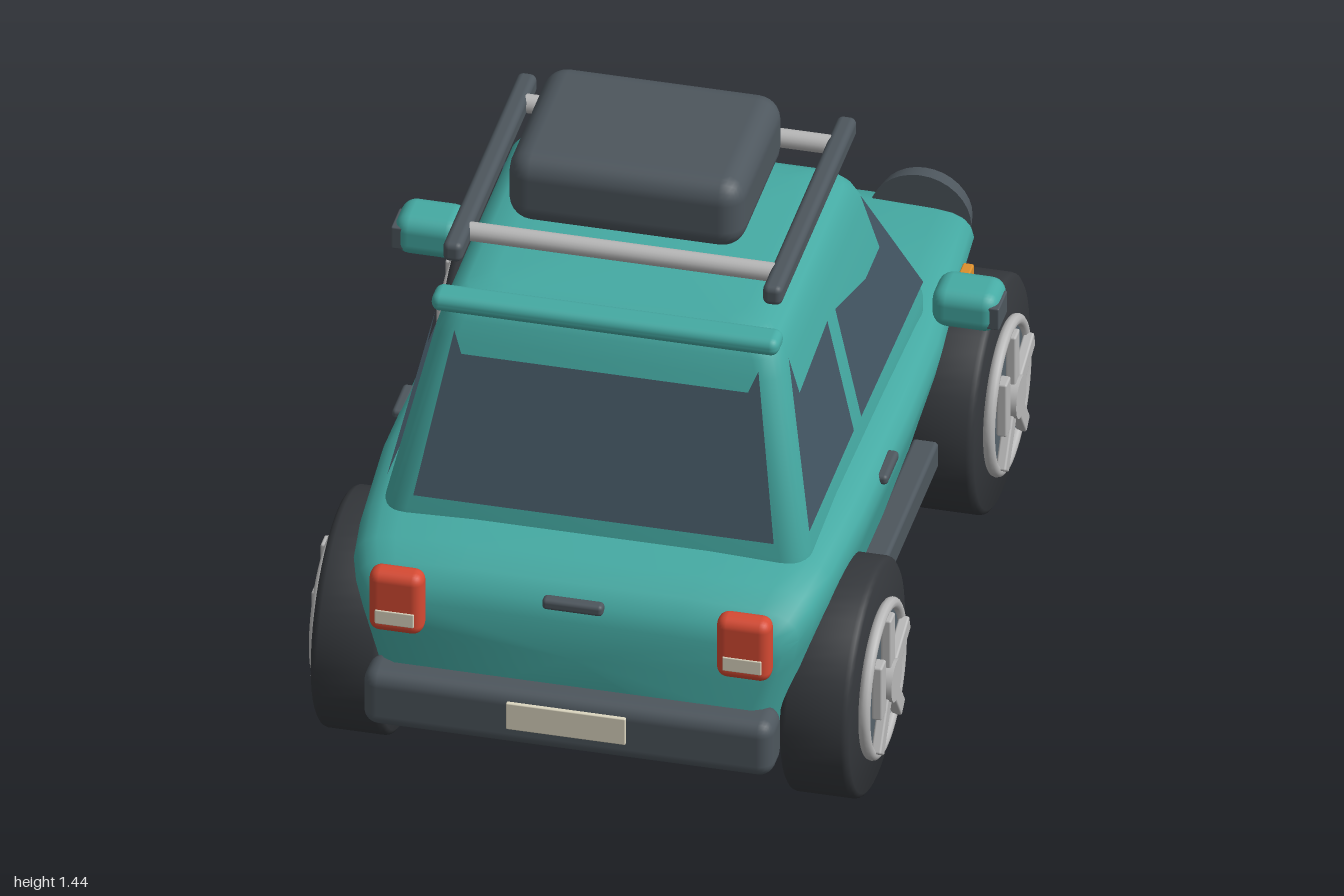
import * as THREE from 'three';
import { toCreasedNormals } from 'three/addons/utils/BufferGeometryUtils.js';
import { RoundedBoxGeometry } from 'three/addons/geometries/RoundedBoxGeometry.js';

const mat = (color, side = THREE.FrontSide) => new THREE.MeshStandardMaterial({ color, side });
const teal = mat(0x45aaa3), slate = mat(0x4d565d), rubber = mat(0x34373b), metal = mat(0xb8b8b8);
const red = mat(0xd64a33), cream = mat(0xdcd6c0), amber = mat(0xdc8f2c), disc = mat(0x56626b);
const glass = mat(0x435663, THREE.DoubleSide);

// Skin a list of equal-length point rings, closing both ends
function loft(rings, crease) {
  const n = rings[0].length, pos = rings.flat(2), idx = [];
  rings.slice(1).forEach((_, i) => {
    for (let j = 0; j < n; j++) {
      const a = i * n + j, b = i * n + (j + 1) % n;
      idx.push(a, b, b + n, a, b + n, a + n);
    }
  });
  [[0, true], [rings.length - 1, false]].forEach(([r, flip]) => {
    const c = pos.length / 3;
    for (let k = 0; k < 3; k++) pos.push(rings[r].reduce((s, p) => s + p[k], 0) / n);
    for (let j = 0; j < n; j++) {
      const a = r * n + j, b = r * n + (j + 1) % n;
      idx.push(c, flip ? b : a, flip ? a : b);
    }
  });
  const g = new THREE.BufferGeometry();
  g.setAttribute('position', new THREE.Float32BufferAttribute(pos, 3));
  g.setIndex(idx);
  return toCreasedNormals(g, crease);
}

// Lower body: one cross-section scaled along z by width, bottom and top
function bodyGeometry() {
  const half = [[0.78, 0], [0.83, 0.03], [0.9, 0.35], [0.97, 0.66], [1, 0.82], [0.985, 0.89],
    [0.95, 0.94], [0.9, 0.97], [0.82, 0.985], [0.5, 1]];
  const profile = [...half, ...half.map(([x, y]) => [-x, y]).reverse()];
  const stations = [ // z, half width, bottom, top
    [-0.955, 0.41, 0.3, 0.47], [-0.945, 0.44, 0.26, 0.51], [-0.92, 0.465, 0.235, 0.54],
    [-0.85, 0.49, 0.215, 0.565], [-0.6, 0.515, 0.21, 0.6], [-0.3, 0.55, 0.21, 0.633],
    [0, 0.56, 0.21, 0.65], [0.45, 0.56, 0.21, 0.667], [0.7, 0.545, 0.21, 0.655],
    [0.82, 0.53, 0.21, 0.64], [0.88, 0.51, 0.215, 0.615], [0.915, 0.48, 0.23, 0.58], [0.928, 0.45, 0.25, 0.54]];
  return loft(stations.map(([z, w, b, t]) => profile.map(([x, y]) => [x * w, b + y * (t - b), z])), 0.7);
}

// Cabin: rounded rectangles stacked in y
function cabinGeometry() {
  const levels = [ // y, half width, front z, rear z, corner radius
    [0.58, 0.49, -0.42, 0.735, 0.06], [0.655, 0.49, -0.42, 0.735, 0.06], [1.04, 0.405, -0.2, 0.61, 0.06],
    [1.085, 0.392, -0.172, 0.595, 0.06], [1.115, 0.375, -0.145, 0.58, 0.06],
    [1.133, 0.345, -0.11, 0.555, 0.06], [1.14, 0.29, -0.05, 0.51, 0.06]];
  const steps = 6;
  return loft(levels.map(([y, w, zf, zr, r]) => {
    const ring = [], c = (zf + zr) / 2, d = (zr - zf) / 2;
    for (let q = 0; q < 4; q++) for (let k = 0; k <= steps; k++) {
      const a = (q + k / steps) * Math.PI / 2;
      const sx = q === 0 || q === 3 ? 1 : -1, sz = q < 2 ? -1 : 1;
      ring.push([sx * (w - r) + r * Math.cos(a), y, c + sz * (d - r) - r * Math.sin(a)]);
    }
    return ring;
  }), 0.6);
}

// Flat glass pane: outline points placed in space by a rule
function paneGeometry(points, place) {
  const g = new THREE.ShapeGeometry(new THREE.Shape(points.map(p => new THREE.Vector2(...p))));
  const p = g.attributes.position;
  for (let i = 0; i < p.count; i++) p.setXYZ(i, ...place(p.getX(i), p.getY(i)));
  g.computeVertexNormals();
  return g;
}

export function createModel() {
  const car = new THREE.Group();
  car.name = 'car';
  const add = (name, geometry, material, x = 0, y = 0, z = 0, parent = car) => {
    const m = new THREE.Mesh(geometry, material);
    m.name = name;
    m.position.set(x, y, z);
    parent.add(m);
    return m;
  };
  // Rounded box given by its centre and size
  const box = (name, material, [x, y, z], [w, h, d], r = 0.01, parent = car) =>
    add(name, new RoundedBoxGeometry(w, h, d, 3, r), material, x, y, z, parent);
  const rod = (r, h, seg = 32) => new THREE.CylinderGeometry(r, r, h, seg).rotateZ(Math.PI / 2);

  add('body', bodyGeometry(), teal);
  add('cabin', cabinGeometry(), teal);

  // Glass
  add('windscreen', paneGeometry([[-0.415, 0.665], [0.415, 0.665], [0.34, 1.075], [-0.34, 1.075]],
    (x, y) => [x, y, -0.426 + 0.564 * (y - 0.655)]), glass);
  add('rearWindow', paneGeometry([[-0.415, 0.69], [0.415, 0.69], [0.35, 1.065], [0.33, 1.015], [-0.33, 1.015], [-0.35, 1.065]],
    (x, y) => [x, y, 0.742 - 0.325 * (y - 0.655)]), glass);
  const sidePanes = {
    rearSideWindow: [[0.685, 0.705], [0.555, 1.075], [0.54, 0.975], [0.265, 0.99], [0.265, 0.705]],
    frontSideWindow: [[0.2, 0.7], [0.2, 0.98], [-0.03, 0.915], [-0.16, 0.915], [-0.12, 1.075], [-0.375, 0.69]],
  };

  for (const s of [1, -1]) {
    for (const [name, pts] of Object.entries(sidePanes))
      add(name, paneGeometry(pts, (z, y) => [s * (0.489 - 0.214 * (y - 0.69)), y, z]), glass);

    // Side trim, handles and mirrors
    box('sill', slate, [s * 0.51, 0.275, 0], [0.06, 0.07, 0.7]);
    box('doorHandle', slate, [s * 0.556, 0.602, 0.242], [0.03, 0.025, 0.115]);
    box('sideMarker', amber, [s * 0.54, 0.59, -0.56], [0.025, 0.032, 0.07], 0.004);
    box('mirror', teal, [s * 0.618, 0.72, -0.28], [0.155, 0.1, 0.12], 0.035);
    box('mirrorEnd', slate, [s * 0.685, 0.717, -0.265], [0.03, 0.058, 0.08], 0.004);

    // Lights
    box('tailLight', red, [s * 0.4, 0.55, 0.94], [0.125, 0.16, 0.06], 0.025);
    box('reverseLight', cream, [s * 0.4, 0.515, 0.95], [0.09, 0.037, 0.045], 0.003);
    add('headlightHousing', new THREE.CylinderGeometry(0.11, 0.118, 0.045, 32).rotateX(-Math.PI / 2), slate, s * 0.362, 0.52, -0.888);
    add('headlightLens', new THREE.SphereGeometry(0.1, 32, 16).scale(1, 1, 0.18), cream, s * 0.362, 0.52, -0.908);

    // Roof rack side rail
    box('rackRail', slate, [s * 0.368, 1.235, 0.2], [0.045, 0.05, 0.72], 0.015);

    // Wheels
    for (const z of [0.595, -0.58]) {
      const wheel = new THREE.Group();
      wheel.name = z < 0 ? 'frontWheel' : 'rearWheel';
      wheel.position.set(s * 0.54, 0.275, z);
      if (s < 0) wheel.rotation.y = Math.PI;
      car.add(wheel);
      const tyre = [[0, -0.08], [0.262, -0.08], [0.272, -0.073], [0.275, -0.063], [0.275, 0.063],
        [0.272, 0.073], [0.262, 0.08], [0, 0.08]].map(p => new THREE.Vector2(...p));
      add('tyre', toCreasedNormals(new THREE.LatheGeometry(tyre, 48).rotateZ(-Math.PI / 2), 0.8), rubber, 0, 0, 0, wheel);
      add('wheelDisc', rod(0.17, 0.02, 40), disc, 0.082, 0, 0, wheel);
      add('rim', new THREE.TorusGeometry(0.172, 0.014, 10, 48).rotateY(Math.PI / 2), metal, 0.092, 0, 0, wheel);
      add('hub', rod(0.05, 0.03, 24), metal, 0.11, 0, 0, wheel);
      for (let k = 0; k < 5; k++) {
        const a = Math.PI * (0.1 + 0.4 * k); // measured towards the car's nose
        const odd = k === 2; // one spoke stands upright
        const r = odd ? 0.09 : 0.1;
        const spoke = box('spoke', metal, [0.105, r * Math.sin(a), -s * r * Math.cos(a)], [0.024, 0.14, 0.042], 0.005, wheel);
        spoke.rotation.x = odd ? 0 : s * (Math.PI / 2 - a) * -1;
      }
    }
  }

  // Bumpers, plates and grille
  box('rearBumper', slate, [0, 0.297, 0.932], [0.945, 0.145, 0.11], 0.035);
  box('rearPlate', cream, [0, 0.31, 0.987], [0.275, 0.07, 0.014], 0.003);
  box('frontBumper', slate, [0, 0.32, -0.932], [0.885, 0.135, 0.11], 0.035);
  box('frontPlate', cream, [0, 0.315, -0.99], [0.255, 0.065, 0.02], 0.003);
  box('grille', slate, [0, 0.465, -0.952], [0.42, 0.065, 0.03], 0.01);
  box('tailgateHandle', slate, [0, 0.582, 0.92], [0.14, 0.028, 0.03]);

  // Roof fittings
  box('spoiler', teal, [0, 1.143, 0.6], [0.8, 0.044, 0.07], 0.02);
  for (const z of [-0.07, 0.46]) add('rackCrossbar', rod(0.022, 0.72, 20), metal, 0, 1.235, z);
  box('luggage', slate, [0, 1.35, 0.245], [0.545, 0.18, 0.42], 0.055);
  return car;
}
